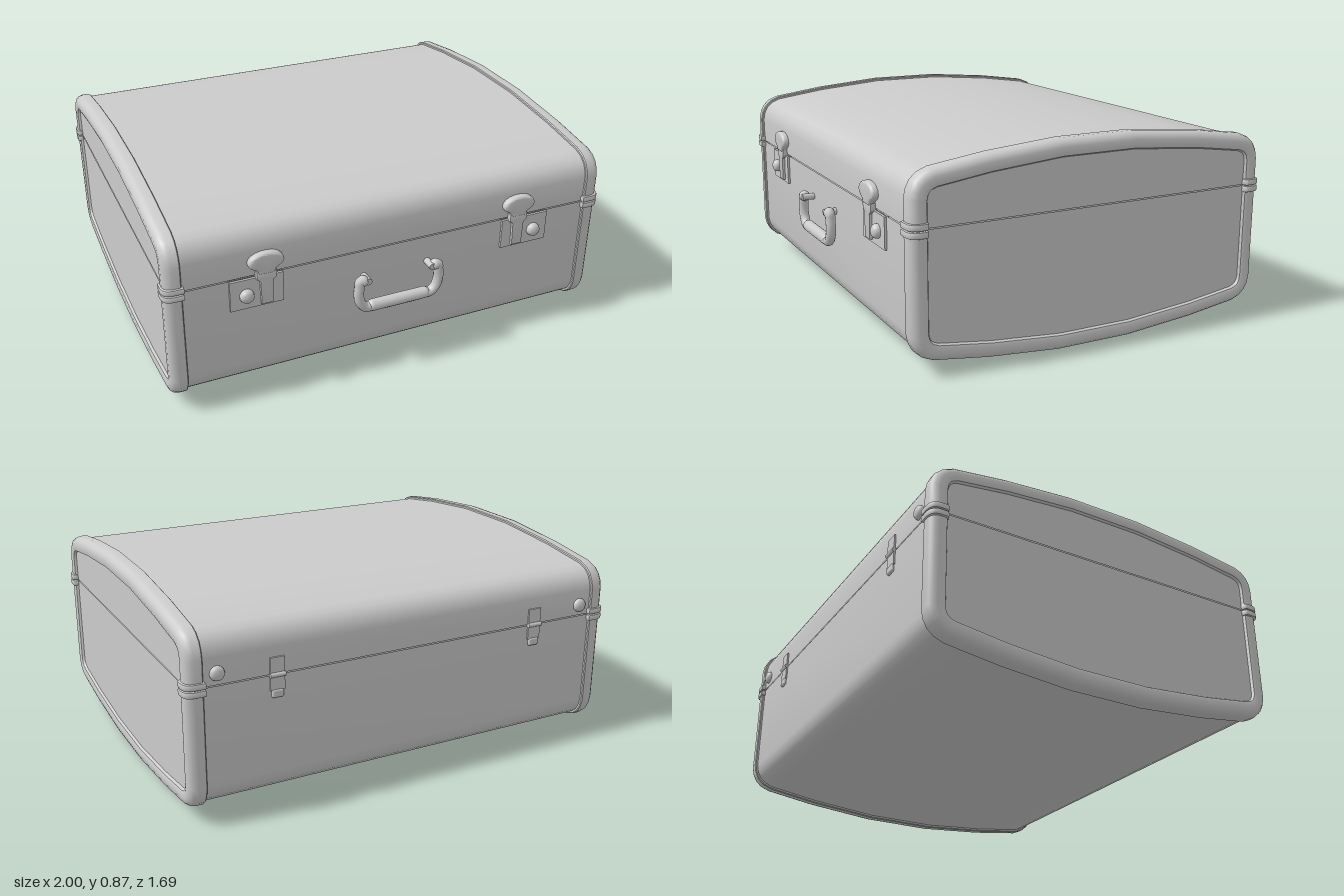
import * as THREE from 'three';
import { toCreasedNormals } from 'three/addons/utils/BufferGeometryUtils.js';
import { RoundedBoxGeometry } from 'three/addons/geometries/RoundedBoxGeometry.js';

const MAT = new THREE.MeshStandardMaterial({ color: 0xcccccc });
const SEAM = 0.585, HEIGHT = 0.87, CENTRE_Z = -0.019, FRONT = 0.785, BACK = -0.823;

// Front half of the lid outline as [z from centre, y], seam to crown
const OUTLINE = [[0.816, 0.587], [0.816, 0.70], [0.809, 0.735], [0.792, 0.768], [0.764, 0.793],
  [0.722, 0.81], [0.485, 0.843], [0.17, 0.87]];

function halfOutline(isLid) {
  const front = OUTLINE.map(([z, y], i) => {
    if (isLid) return [z, y];
    return [z, i === 0 ? SEAM - 0.002 : HEIGHT - y];
  });
  const all = [...front, ...front.map(([z, y]) => [-z, y]).reverse()];
  if (!isLid) all.reverse();
  return all.map(([z, y]) => new THREE.Vector2(z + CENTRE_Z, y));
}

// Move an outline inwards with mitred corners
function inset(pts, d) {
  const normal = (a, b) => {
    const t = b.clone().sub(a).normalize();
    return new THREE.Vector2(-t.y, t.x);
  };
  return pts.map((p, i) => {
    const n0 = normal(pts[Math.max(i - 1, 0)], pts[Math.max(i, 1)]);
    const last = pts.length - 1;
    const n1 = normal(pts[Math.min(i, last - 1)], pts[Math.min(i + 1, last)]);
    const m = n0.clone().add(n1);
    return p.clone().addScaledVector(m, 2 * d / m.lengthSq());
  });
}

// Loft an outline through sections [x, inset, flattenToSeam]
function loft(outline, sections) {
  const pos = [], index = [], n = outline.length;
  for (const [x, d, flat] of sections) {
    for (const p of inset(outline, d)) pos.push(x, flat ? outline[0].y : p.y, p.x);
  }
  for (let i = 0; i < sections.length - 1; i++) {
    for (let j = 0; j < n - 1; j++) {
      const a = i * n + j, b = a + n;
      index.push(a, b, a + 1, b, b + 1, a + 1);
    }
  }
  const g = new THREE.BufferGeometry();
  g.setAttribute('position', new THREE.Float32BufferAttribute(pos, 3));
  g.setIndex(index);
  return toCreasedNormals(g, 0.65);
}

const mirrored = (sections) => sections.map(([x, ...r]) => [-x, ...r]).reverse();

function add(parent, name, geometry, x = 0, y = 0, z = 0) {
  const m = new THREE.Mesh(geometry, MAT);
  m.name = name;
  m.position.set(x, y, z);
  parent.add(m);
  return m;
}

// Rounded edge binding as [x, inset]
const TRIM = [[0.92, 0.03], [0.92, 0.004], [0.924, 0], [0.955, 0], [0.972, 0.005], [0.985, 0.016],
  [0.991, 0.032], [0.991, 0.055], [0.987, 0.067], [0.976, 0.073]];
const PANEL = [[0.976, 0.072], [0.976, 0.072, true]];

function buildHalf(isLid) {
  const g = new THREE.Group();
  g.name = isLid ? 'lid' : 'base';
  const o = halfOutline(isLid);
  add(g, 'shell', loft(o, [[-0.93, 0.012], [0.93, 0.012]]));
  for (const side of [1, -1]) {
    const s = (list) => (side > 0 ? list : mirrored(list));
    add(g, 'edgeBinding', loft(o, s(TRIM)));
    add(g, 'endPanel', loft(o, s(PANEL)));
  }
  return g;
}

// Two ridged collars wrapping a corner of the binding at the seam
function buildCollar(sx, sz) {
  const g = new THREE.Group();
  g.name = 'cornerCollar';
  const edge = sz > 0 ? 0.806 : -0.843;
  const s = new THREE.Shape();
  const P = (x, d) => [sx * x, -(edge - sz * d)];
  s.moveTo(...P(0.914, 0.082));
  s.lineTo(...P(0.914, 0.002));
  s.lineTo(...P(0.95, 0.002));
  s.quadraticCurveTo(...P(0.998, 0.002), ...P(0.998, 0.045));
  s.lineTo(...P(0.998, 0.07));
  s.quadraticCurveTo(...P(0.996, 0.082), ...P(0.97, 0.082));
  s.closePath();
  for (const y of [0.558, 0.588]) {
    const geo = new THREE.ExtrudeGeometry(s, { depth: 0.015, bevelThickness: 0.006, bevelSize: 0.005,
      bevelOffset: -0.003, bevelSegments: 2, curveSegments: 6 });
    geo.rotateX(-Math.PI / 2);
    add(g, 'collarRidge', toCreasedNormals(geo, 0.7), 0, y + 0.003, 0);
  }
  return g;
}

// Domed disc facing along z
function dome(r, depth, dir) {
  const pts = [[r, 0], [r, 0.35], [r * 0.88, 0.7], [r * 0.55, 0.93], [0, 1]]
    .map(([x, y]) => new THREE.Vector2(x, y * depth));
  return new THREE.LatheGeometry(pts, 20).rotateX(dir * Math.PI / 2);
}

function buildLatch(side) {
  const g = new THREE.Group();
  g.name = side > 0 ? 'leftLatch' : 'rightLatch';
  add(g, 'latchPlate', new THREE.BoxGeometry(0.225, 0.135, 0.02), side * 0.618, 0.512, FRONT);
  add(g, 'latchButton', dome(0.03, 0.03, 1), side * 0.662, 0.507, FRONT + 0.008);

  // Mushroom-shaped thumb piece
  const cap = new THREE.Shape();
  cap.moveTo(-0.03, 0.6);
  cap.bezierCurveTo(-0.034, 0.63, -0.07, 0.62, -0.071, 0.65);
  cap.bezierCurveTo(-0.066, 0.7, 0.066, 0.7, 0.071, 0.65);
  cap.bezierCurveTo(0.07, 0.62, 0.034, 0.63, 0.03, 0.6);
  const bevel = { depth: 0.018, bevelThickness: 0.012, bevelSize: 0.01, bevelOffset: -0.006,
    bevelSegments: 3, curveSegments: 10 };
  add(g, 'thumbPiece', toCreasedNormals(new THREE.ExtrudeGeometry(cap, bevel), 0.8),
    side * 0.578, 0, FRONT - 0.002);

  // Hasp tongue below it
  const tongue = new THREE.Shape([[-0.021, 0.46], [0.021, 0.46], [0.024, 0.565], [0.038, 0.575],
    [0.038, 0.603], [-0.038, 0.603], [-0.038, 0.575], [-0.024, 0.565]]
    .map(([x, y]) => new THREE.Vector2(x, y)));
  add(g, 'hasp', toCreasedNormals(new THREE.ExtrudeGeometry(tongue, { ...bevel, depth: 0.018,
    bevelThickness: 0.005, bevelSize: 0.004, bevelOffset: 0, bevelSegments: 2 }), 0.7),
    side * 0.578, 0, FRONT);
  return g;
}

function buildHandle() {
  const g = new THREE.Group();
  g.name = 'handle';
  const z = 0.823;
  const right = [[0.165, 0.468], [0.18, 0.463], [0.183, 0.44], [0.186, 0.40], [0.178, 0.362], [0.155, 0.334], [0.12, 0.33]];
  const path = [...right, ...right.map(([x, y]) => [-x, y]).reverse()]
    .map(([x, y]) => new THREE.Vector3(x, y, z));
  add(g, 'handleLoop', new THREE.TubeGeometry(new THREE.CatmullRomCurve3(path, false, 'centripetal'), 72, 0.022, 12));
  add(g, 'grip', new THREE.CapsuleGeometry(0.026, 0.24, 6, 14).rotateZ(Math.PI / 2), 0, 0.334, z);
  for (const s of [1, -1]) {
    add(g, 'handleEnd', new THREE.SphereGeometry(0.024, 14, 10), s * 0.168, 0.464, z);
    add(g, 'handlePost', new THREE.CylinderGeometry(0.015, 0.015, 0.06, 14).rotateX(Math.PI / 2), s * 0.148, 0.463, 0.81);
  }
  return g;
}

function buildHinge(side) {
  const g = new THREE.Group();
  g.name = 'hinge';
  const x = side * 0.615;
  add(g, 'upperLeaf', new THREE.BoxGeometry(0.062, 0.07, 0.014), x, 0.622, BACK);
  add(g, 'lowerLeaf', new THREE.BoxGeometry(0.062, 0.06, 0.014), x, 0.55, BACK);
  add(g, 'hingePin', new THREE.CylinderGeometry(0.01, 0.01, 0.066, 12).rotateZ(Math.PI / 2), x, SEAM, BACK - 0.006);
  add(g, 'hingeFoot', new RoundedBoxGeometry(0.05, 0.035, 0.024, 2, 0.008), x, 0.507, BACK);
  return g;
}

export function createModel() {
  const model = new THREE.Group();
  model.name = 'suitcase';
  model.add(buildHalf(true), buildHalf(false), buildHandle());
  // Inner lining closing the seam gap
  add(model, 'lining', new THREE.BoxGeometry(1.94, 0.06, 1.57), 0, SEAM, CENTRE_Z);
  for (const side of [1, -1]) {
    model.add(buildCollar(side, 1), buildCollar(side, -1), buildLatch(side), buildHinge(side));
    add(model, 'rearStud', dome(0.03, 0.024, -1), side * 0.862, 0.635, BACK + 0.002);
  }
  return model;
}
